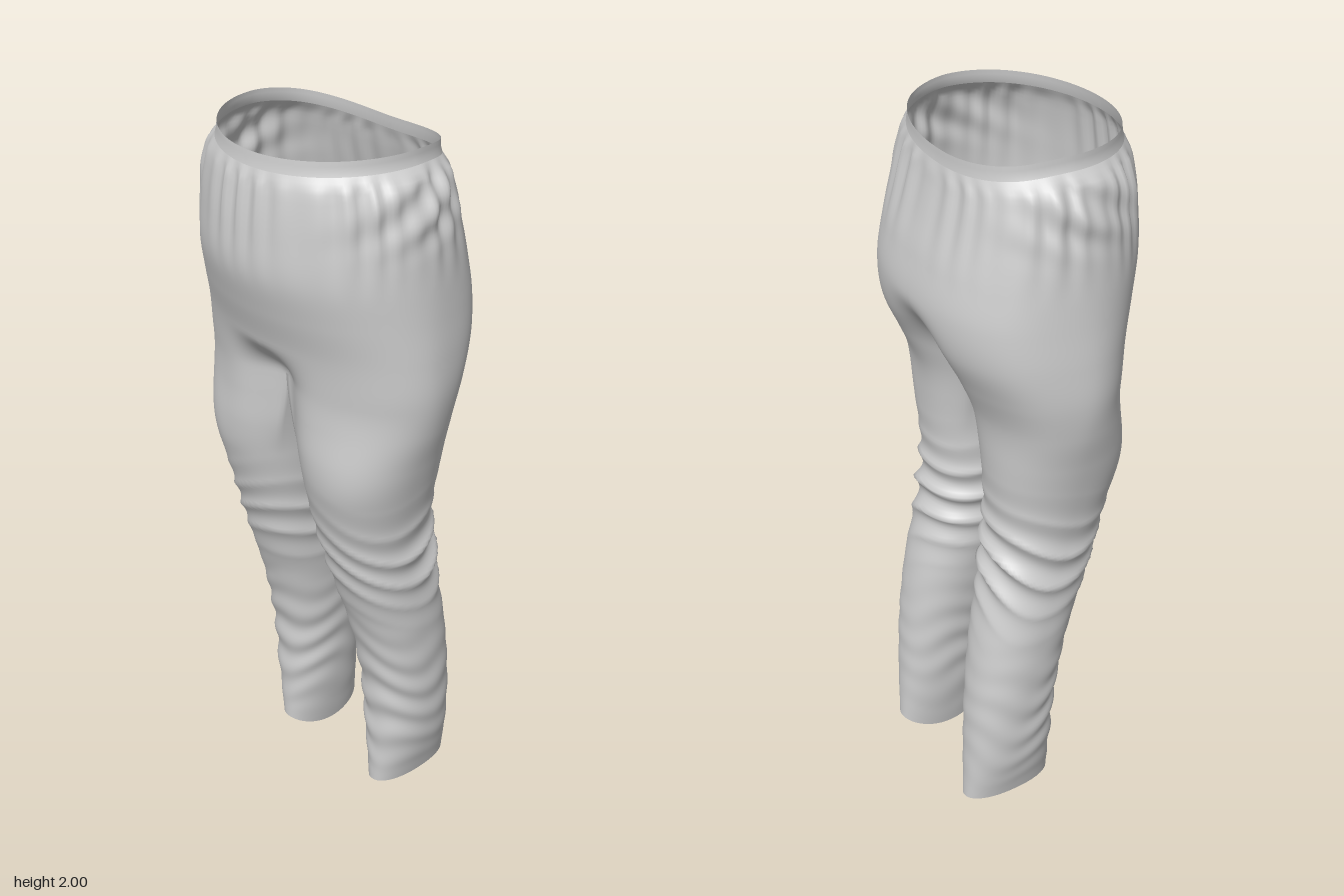
import * as THREE from 'three';
import { mergeVertices, mergeGeometries } from 'three/addons/utils/BufferGeometryUtils.js';

const { lerp, smoothstep } = THREE.MathUtils;
const CROTCH = 1.38, BAND = 1.965, HEM = 0.04;

// Silhouette by height: y, outer x, inner x of the leg, front z, back z
const PROFILE = [
  [0.04, 0.255, 0.130, 0.000, -0.270],
  [0.20, 0.288, 0.100, 0.000, -0.260],
  [0.40, 0.302, 0.082, 0.010, -0.246],
  [0.60, 0.308, 0.062, 0.048, -0.220],
  [0.80, 0.312, 0.040, 0.110, -0.180],
  [1.00, 0.318, 0.022, 0.165, -0.157],
  [1.20, 0.355, 0.008, 0.208, -0.170],
  [1.30, 0.377, 0.003, 0.215, -0.188],
  [1.40, 0.388, 0.000, 0.220, -0.230],
  [1.50, 0.382, 0.000, 0.235, -0.274],
  [1.60, 0.370, 0.000, 0.265, -0.285],
  [1.70, 0.359, 0.000, 0.289, -0.267],
  [1.80, 0.350, 0.000, 0.288, -0.242],
  [1.90, 0.336, 0.000, 0.278, -0.220],
  [1.94, 0.318, 0.000, 0.270, -0.212],
  [1.965, 0.290, 0.000, 0.258, -0.203],
  [2.00, 0.284, 0.000, 0.252, -0.200],
];
const profile = new THREE.CubicInterpolant(
  PROFILE.map((r) => r[0]), PROFILE.flatMap((r) => r.slice(1)), 4, new Float32Array(4));

const bell = (v, centre, width) => Math.exp(-(((v - centre) / width) ** 2));
const roundness = (s, c, n) => (Math.abs(s) ** n + Math.abs(c) ** n) ** (-1 / n);

// Half of the hip section, a from 0 (front centre) over the side to PI (back centre)
function hipPoint(y, a, xo, zf, zb) {
  const s = a === Math.PI ? 0 : Math.sin(a), c = Math.cos(a);
  const r = roundness(s, c, 2 + 0.5 * smoothstep(-c, 0, 0.7));
  // gathers hanging from the waistband, lumpier over the side pockets
  const gather = smoothstep(y, 1.66, 1.9) * (1 - smoothstep(y, 1.93, BAND));
  const ripple = Math.cos(30 * a + 1.5 * Math.sin(5 * a)) * (0.6 + 0.4 * Math.sin(7 * a + 1));
  const pocket = s ** 6 * Math.sin(y * 55 + 9 * c) * smoothstep(y, 1.74, 1.85);
  const k = 1 + gather * (0.024 * (ripple - 0.5) + 0.022 * pocket);
  const x = xo * s * r * k;
  // cleft between the legs, front and back
  const cleft = c > 0 ? 0.33 * smoothstep(-y, -1.5, -CROTCH) : 0.36 * smoothstep(-y, -1.6, -CROTCH);
  const z = (c > 0 ? zf : -zb) * c * r * k * (1 - cleft * bell(x, 0, 0.085));
  // the waist dips a little at the front and more at the back
  const dip = (c > 0 ? 0.013 : 0.038) * c * c * smoothstep(y, 1.7, 2);
  return new THREE.Vector3(x, y - dip, z);
}

// Full leg section, a from 0 (front) over the outer side, the back and the inner side
function legPoint(y, a, xo, xi, zf, zb) {
  const s = Math.sin(a), c = Math.cos(a), r = roundness(s, c, 2.2);
  // bunched folds at the knee, softer ones down the shin
  const kneeEnv = bell(y, 0.87, 0.13) * (0.45 + 0.55 * smoothstep(-c, -0.6, 0.8));
  const knee = 1 - 2 * Math.abs(Math.sin(36 * y + 1.6 * s + 0.8 * Math.sin(2 * a + 6 * y)));
  const shinEnv = bell(y, 0.36, 0.22) * (0.6 + 0.4 * c) * smoothstep(y, 0.05, 0.12);
  const shin = Math.sin(58 * y + 2.2 * s + 1.2 * Math.sin(3 * a + 9 * y));
  const push = 0.012 * kneeEnv * knee + 0.005 * shinEnv * shin;
  // slanted hem, lowest on the inner side
  const hem = (s > 0 ? 0.01 * s : -0.04 * s * s) * (1 - smoothstep(y, HEM, 0.25));
  return new THREE.Vector3(
    (xo + xi) / 2 + ((xo - xi) / 2) * s * r + push * s, y + hem,
    (zf + zb) / 2 + ((zf - zb) / 2) * c * r + push * c);
}

// u 0..1 runs front to back around the outside, 1..2 returns along the inside
function clothPoint(y, u) {
  const [xo, xi, zf, zb] = profile.evaluate(y);
  const w = 1 - smoothstep(y, 1.1, CROTCH);
  const v = u - 1;
  let hip;
  if (v <= 0) hip = hipPoint(y, Math.PI * u, xo, zf, zb);
  else {
    // crotch seam hanging from back to front
    hip = hipPoint(y, Math.PI, xo, zf, zb).lerp(hipPoint(y, 0, xo, zf, zb), v);
    hip.y -= 0.09 * Math.sin(Math.PI * v) * (1 - w);
  }
  if (w === 0) return hip;
  const degrees = v <= 0 ? lerp(-50, 230, u) : lerp(230, 310, v);
  return hip.lerp(legPoint(y, THREE.MathUtils.degToRad(degrees), xo, xi, zf, zb), w);
}

// Sheet of cloth between two heights, on the +x side
function sheet(yTop, yBottom, rows, us) {
  const pos = [], index = [], n = us.length;
  for (let i = 0; i <= rows; i++) {
    const y = lerp(yTop, yBottom, i / rows);
    for (const u of us) pos.push(...clothPoint(y, u).toArray());
  }
  for (let i = 0; i < rows; i++) {
    for (let j = 0; j < n - 1; j++) {
      const a = i * n + j, b = a + 1, c = a + n, d = c + 1;
      index.push(a, c, b, b, c, d);
    }
  }
  const g = new THREE.BufferGeometry();
  g.setAttribute('position', new THREE.Float32BufferAttribute(pos, 3));
  g.setIndex(index);
  return g;
}

function mirrored(g) {
  const m = g.clone().scale(-1, 1, 1);
  m.setIndex(Array.from(g.index.array).reverse());
  return m;
}

// Join the sheets with their mirror images into one smooth surface
function clothMesh(name, sheets, material) {
  const g = mergeVertices(mergeGeometries(sheets.flatMap((s) => [s, mirrored(s)])), 1e-4);
  g.computeVertexNormals();
  const mesh = new THREE.Mesh(g, material);
  mesh.name = name;
  return mesh;
}

export function createModel() {
  const group = new THREE.Group();
  group.name = 'trousers';
  const cloth = new THREE.MeshStandardMaterial({ color: 0xcccccc, roughness: 0.9, side: THREE.DoubleSide });

  const outer = Array.from({ length: 91 }, (_, i) => i / 90);
  const inner = Array.from({ length: 28 }, (_, i) => 1 + (i + 1) / 28);

  group.add(clothMesh('waistband', [sheet(2, BAND, 3, outer)], cloth));
  group.add(clothMesh('hipsAndLegs', [
    sheet(BAND, CROTCH, 50, outer),
    sheet(CROTCH, HEM, 130, [...outer, ...inner]),
  ], cloth));
  return group;
}
